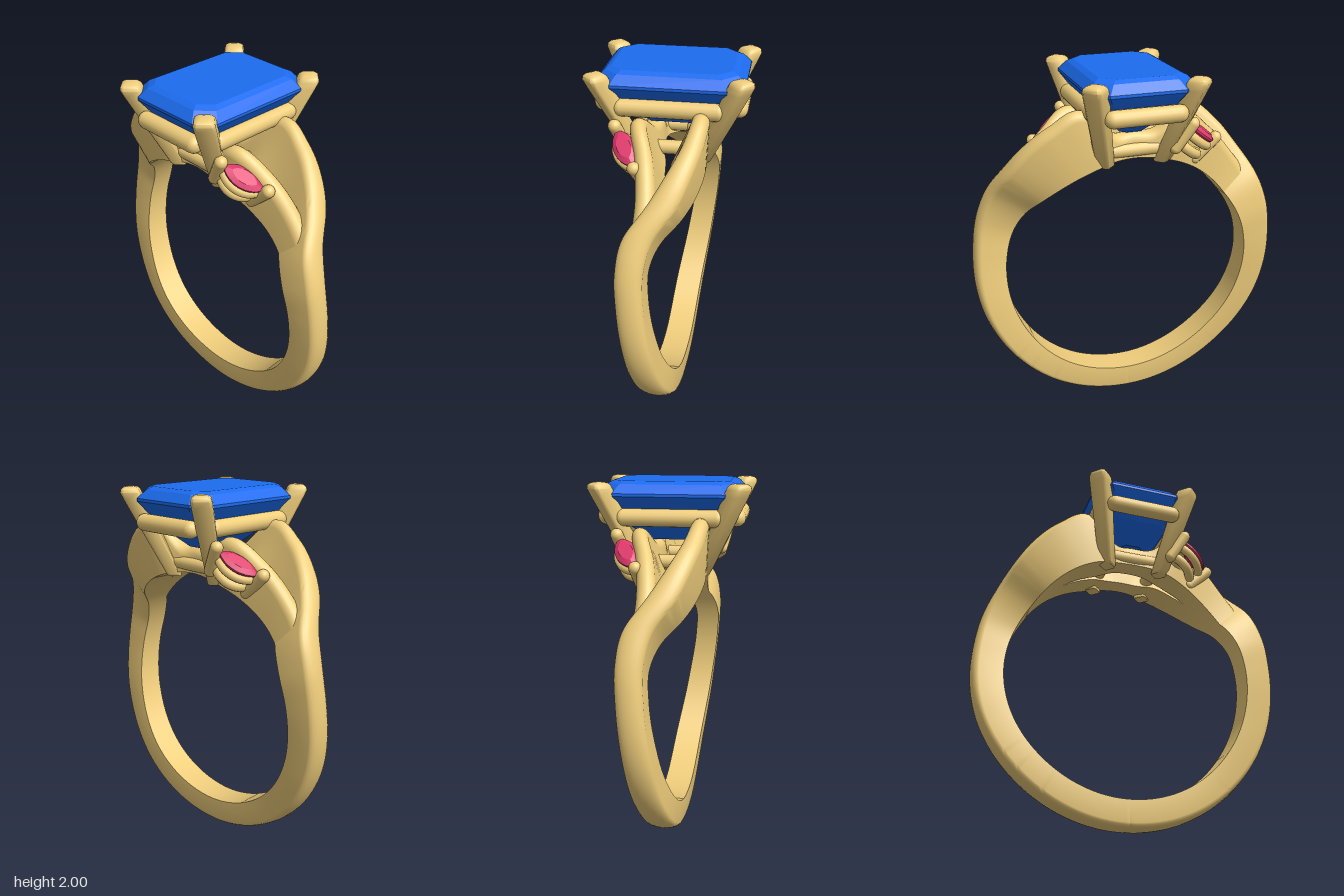
import * as THREE from 'three';
import { toCreasedNormals } from 'three/addons/utils/BufferGeometryUtils.js';

const gold = new THREE.MeshStandardMaterial({ color: 0xf0ce7c });
const blue = new THREE.MeshStandardMaterial({ color: 0x1c6cf0 });
const pink = new THREE.MeshStandardMaterial({ color: 0xe03a6c });
const V = (x, y, z) => new THREE.Vector3(x, y, z);

// Skin a list of equal-length closed rings and cap both ends
function loft(rings, crease) {
  const n = rings[0].length, last = (rings.length - 1) * n, index = [];
  for (let i = 0; i < rings.length - 1; i++) {
    for (let j = 0; j < n; j++) {
      const a = i * n + j, b = i * n + (j + 1) % n;
      index.push(a, a + n, b, a + n, b + n, b);
    }
  }
  for (let k = 1; k < n - 1; k++) {
    index.push(0, k, k + 1, last, last + k + 1, last + k);
  }
  const geo = new THREE.BufferGeometry().setFromPoints(rings.flat());
  geo.setIndex(index);
  return toCreasedNormals(geo, crease);
}

function add(parent, name, geo, mat) {
  const mesh = new THREE.Mesh(geo, mat);
  mesh.name = name;
  parent.add(mesh);
  return mesh;
}

// Rounded rod between two points
function rod(parent, name, a, b, r) {
  const d = b.clone().sub(a), len = d.length();
  const mesh = add(parent, name, new THREE.CapsuleGeometry(r, len, 6, 16), gold);
  mesh.position.copy(a).addScaledVector(d, 0.5);
  mesh.quaternion.setFromUnitVectors(V(0, 1, 0), d.normalize());
}

// One band half: from the bottom, up the left, across the front, into the right side.
// angle from top, outer radius, inner z, inner half width, outer z, outer half width
const BAND = [
  [-180, 0.846, 0, 0.08, 0, 0.08],
  [-139, 0.849, -0.017, 0.08, -0.017, 0.08],
  [-107, 0.86, -0.065, 0.075, -0.065, 0.075],
  [-80, 0.87, -0.105, 0.07, -0.105, 0.07],
  [-67, 0.893, -0.108, 0.07, -0.11, 0.07],
  [-56, 0.915, -0.065, 0.075, -0.075, 0.075],
  [-46, 0.942, 0.02, 0.08, 0.025, 0.075],
  [-38, 0.972, 0.065, 0.085, 0.085, 0.065],
  [-27, 1.004, 0.095, 0.09, 0.145, 0.052],
  [-16, 1.012, 0.1, 0.09, 0.165, 0.045],
  [-8, 0.84, 0.11, 0.06, 0.125, 0.05],
  [0, 0.83, 0.11, 0.055, 0.11, 0.05],
  [8, 0.84, 0.11, 0.06, 0.125, 0.05],
  [16, 0.955, 0.1, 0.075, 0.15, 0.045],
  [29, 0.922, 0.08, 0.07, 0.095, 0.048],
  [43, 0.882, 0.065, 0.06, 0.065, 0.05],
  [54, 0.868, 0.07, 0.055, 0.07, 0.05],
  [65, 0.86, 0.095, 0.052, 0.095, 0.05],
  [75, 0.84, 0.105, 0.05, 0.105, 0.045],
];

function bandGeometry() {
  const curve = new THREE.CubicInterpolant(
    BAND.map(k => k[0]), BAND.flatMap(k => k.slice(1)), 5);
  const rings = [];
  for (let a = -180; a <= 75; a += 1.5) {
    const [rOut, zi, hi, zo, ho] = curve.evaluate(a);
    const t = THREE.MathUtils.degToRad(a), dome = 0.035 + (0.08 - ho) * 0.5;
    const profile = [[0.69, zi - hi], [0.69, zi + hi]];
    for (let k = 0; k <= 10; k++) {
      const s = Math.PI * k / 10;
      profile.push([rOut - dome + dome * Math.sin(s), zo + ho * Math.cos(s)]);
    }
    rings.push(profile.map(([r, z]) => V(r * Math.sin(t), 0.85 + r * Math.cos(t), z)));
  }
  return loft(rings, 0.7);
}

// Rectangle with cut corners in a horizontal plane
const octagon = (y, hx, hz, c) => [
  [hx, -hz + c], [hx, hz - c], [hx - c, hz], [-hx + c, hz],
  [-hx, hz - c], [-hx, -hz + c], [-hx + c, -hz], [hx - c, -hz],
].map(([x, z]) => V(x, y, z));

// Tapered square claw leaning towards a corner, with a rounded tip
function clawGeometry(sx, sz) {
  const levels = [
    [1.505, 0.034], [1.515, 0.04], [1.93, 0.053], [1.965, 0.053],
    [1.982, 0.048], [1.992, 0.036], [1.996, 0.02],
  ];
  return loft(levels.map(([y, h]) => {
    const f = Math.min((y - 1.51) / 0.46, 1);
    const centre = V(sx * (0.16 + 0.11 * f), 0, sz * (0.155 + 0.205 * f));
    return octagon(y, h, h, h * 0.28).map(p =>
      p.applyAxisAngle(V(0, 1, 0), Math.PI / 4).add(centre));
  }), 0.9);
}

// Pointed oval in the local xy plane
function lens(scale, z, steps = 24) {
  return Array.from({ length: steps }, (_, i) => {
    const t = -2 * Math.PI * i / steps, s = Math.sin(t);
    return V(0.112 * scale * Math.cos(t), 0.058 * scale * s * Math.sqrt(Math.abs(s)), z);
  });
}

// Small side stone with its rails and two claws
function sideStone() {
  const g = new THREE.Group();
  g.name = 'sideStoneSetting';
  add(g, 'sideStone', loft(
    [lens(0.25, -0.06), lens(1, -0.005), lens(1, 0.006), lens(0.62, 0.022)], 0.3), pink);
  for (const [scale, z, r] of [[0.86, -0.04, 0.025], [0.7, -0.11, 0.028]]) {
    const path = new THREE.CatmullRomCurve3(lens(scale, z), true);
    add(g, 'sideStoneRail', new THREE.TubeGeometry(path, 48, r, 10, true), gold);
  }
  for (const s of [-1, 1]) {
    rod(g, 'sideStoneClaw', V(s * 0.11, 0, -0.14), V(s * 0.135, 0, 0.018), 0.034);
  }
  // Long axis follows the band, face points outward
  const u = V(0.16, -0.11, -0.11).normalize();
  const v = V(0.55, 0.78, 0.18).cross(u).normalize();
  const n = u.clone().cross(v);
  g.quaternion.setFromRotationMatrix(new THREE.Matrix4().makeBasis(u, v, n));
  g.position.set(0.37, 1.65, 0.2);
  return g;
}

export function createModel() {
  const model = new THREE.Group();
  model.name = 'ring';

  // Two identical halves, half a turn apart
  const band = bandGeometry();
  for (const turn of [0, Math.PI]) {
    const half = new THREE.Group();
    half.name = 'halfRing';
    add(half, 'band', band, gold);
    half.add(sideStone());
    half.rotation.y = turn;
    model.add(half);
  }

  // Step-cut centre stone, from keel to table
  add(model, 'centreStone', loft([
    octagon(1.68, 0.07, 0.15, 0.03), octagon(1.78, 0.18, 0.265, 0.06),
    octagon(1.87, 0.245, 0.335, 0.075), octagon(1.925, 0.284, 0.375, 0.085),
    octagon(1.94, 0.284, 0.375, 0.085), octagon(1.985, 0.245, 0.335, 0.075),
    octagon(2.0, 0.215, 0.305, 0.065),
  ], 0.05), blue);

  // Four corner claws, basket rails around the stone and across the base
  for (const s of [-1, 1]) {
    for (const sx of [-1, 1]) add(model, 'claw', clawGeometry(sx, s), gold);
    rod(model, 'frontRail', V(-0.175, 1.815, s * 0.345), V(0.175, 1.815, s * 0.345), 0.046);
    rod(model, 'sideRail', V(s * 0.24, 1.815, -0.245), V(s * 0.24, 1.815, 0.245), 0.046);
    rod(model, 'baseSideRail', V(s * 0.155, 1.575, -0.14), V(s * 0.155, 1.575, 0.14), 0.038);
    rod(model, 'baseFrontRail', V(-0.155, 1.585, s * 0.15), V(0.155, 1.585, s * 0.15), 0.038);
  }
  return model;
}
